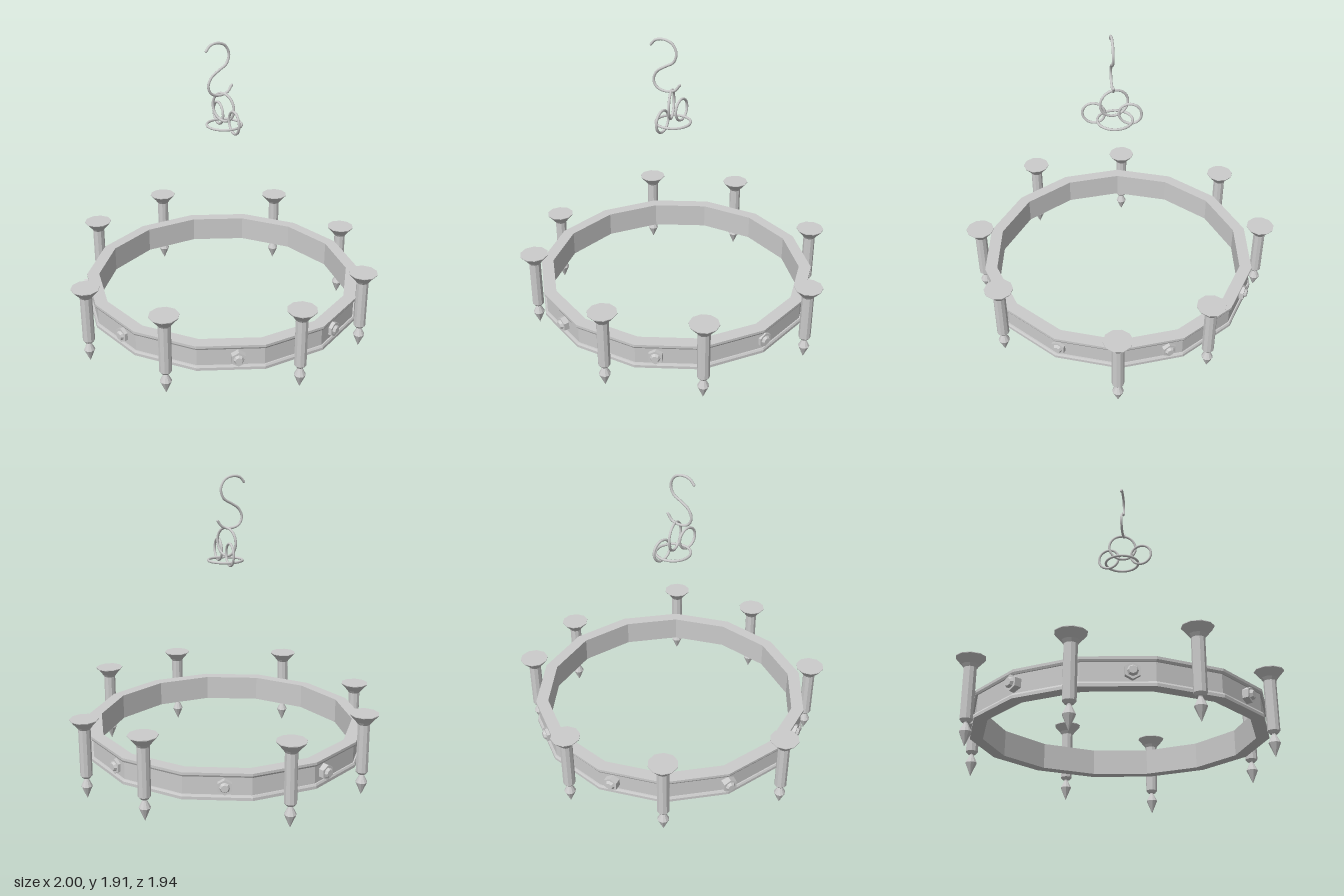
import * as THREE from 'three';

const flat = new THREE.MeshStandardMaterial({ color: 0xcccccc, flatShading: true });
const smooth = new THREE.MeshStandardMaterial({ color: 0xcccccc });

// Faceted lathe with a corner on the x axis; profile is [radius, height] pairs
function lathe(profile, sides) {
  const points = profile.map(([r, y]) => new THREE.Vector2(r, y));
  return new THREE.LatheGeometry(points, sides).rotateY(Math.PI / 2);
}

export function createModel() {
  const model = new THREE.Group();

  function add(name, geometry, material, x = 0, y = 0, z = 0, parent = model) {
    const mesh = new THREE.Mesh(geometry, material);
    mesh.name = name;
    mesh.position.set(x, y, z);
    parent.add(mesh);
    return mesh;
  }

  // Fourteen-sided hoop with a flange along both outer edges
  add('hoop', lathe([
    [0.795, 0.24], [0.872, 0.24], [0.872, 0.257], [0.866, 0.268], [0.858, 0.268],
    [0.858, 0.374], [0.866, 0.374], [0.872, 0.385], [0.872, 0.4], [0.795, 0.4], [0.795, 0.24],
  ], 14), flat, -0.002, 0, -0.004);

  // Candle holders: pointed finial, neck, shaft and flared dish; two hang lower
  const holder = lathe([
    [0, 0.073], [0.035, 0.155], [0.012, 0.202], [0.012, 0.208], [0.024, 0.208],
    [0.037, 0.224], [0.037, 0.522], [0.05, 0.54], [0.087, 0.582], [0.087, 0.586], [0, 0.586],
  ], 10);
  const drop = -0.073;
  [
    [0.905, 0, 0], [0.7, 0.537, 0], [0.022, 0.888, 0], [-0.598, 0.695, drop],
    [-0.916, 0, 0], [-0.718, -0.573, 0], [0.022, -0.89, 0], [0.57, -0.707, drop],
  ].forEach(([x, z, y]) => add('candleHolder', holder, flat, x, y, z));

  // Bolts around the hoop, each with a hexagonal base and a smaller domed head
  const base = new THREE.CylinderGeometry(0.045, 0.047, 0.05, 6).rotateX(Math.PI / 2);
  const head = new THREE.CylinderGeometry(0.021, 0.031, 0.016, 8).rotateX(Math.PI / 2);
  [
    [0.41, 0.755], [-0.305, 0.795], [-0.797, 0.38], [-0.82, -0.31],
    [-0.41, -0.755], [0.27, -0.815], [0.765, -0.39], [0.812, 0.257],
  ].forEach(([x, z]) => {
    const bolt = new THREE.Group();
    bolt.name = 'bolt';
    bolt.position.set(x, 0.32, z);
    bolt.rotation.y = Math.atan2(x, z);
    add('boltBase', base, flat, 0, 0, -0.016, bolt);
    add('boltHead', head, flat, 0, 0, 0.016, bolt);
    model.add(bolt);
  });

  // Suspension rings: one level ring, two small links and one larger link above
  const wire = 0.008;
  const level = add('levelRing', new THREE.TorusGeometry(0.104, wire, 8, 28), smooth, 0.01, 1.4, 0.012);
  level.rotation.x = Math.PI / 2;
  const link = new THREE.TorusGeometry(0.066, wire, 8, 24);
  [[-0.055, -0.05], [0.105, 0.092]].forEach(([x, z]) => {
    add('smallLink', link, smooth, x, 1.447, z).rotation.y = -0.72;
  });
  add('largeLink', new THREE.TorusGeometry(0.085, wire, 8, 28), smooth, 0.008, 1.51, 0.022)
    .rotation.y = -0.36;

  // S-shaped hook, bent in one upright plane
  const bend = new THREE.CatmullRomCurve3([
    [-0.088, 1.862], [-0.062, 1.89], [-0.015, 1.9], [0.042, 1.88], [0.069, 1.825],
    [0.05, 1.77], [0, 1.74], [-0.052, 1.705], [-0.074, 1.655], [-0.055, 1.61],
    [0, 1.59], [0.06, 1.602], [0.09, 1.638],
  ].map(([u, y]) => new THREE.Vector3(u, y, 0)));
  const hook = new THREE.Group();
  hook.name = 'hook';
  hook.position.set(-0.005, 0, 0.055);
  hook.rotation.y = 1.0;
  add('hookWire', new THREE.TubeGeometry(bend, 56, wire, 8), smooth, 0, 0, 0, hook);
  // Closed wire ends
  [0, 1].forEach((t) => {
    const p = bend.getPoint(t);
    add('hookEnd', new THREE.SphereGeometry(wire, 8, 6), smooth, p.x, p.y, p.z, hook);
  });
  model.add(hook);

  return model;
}
